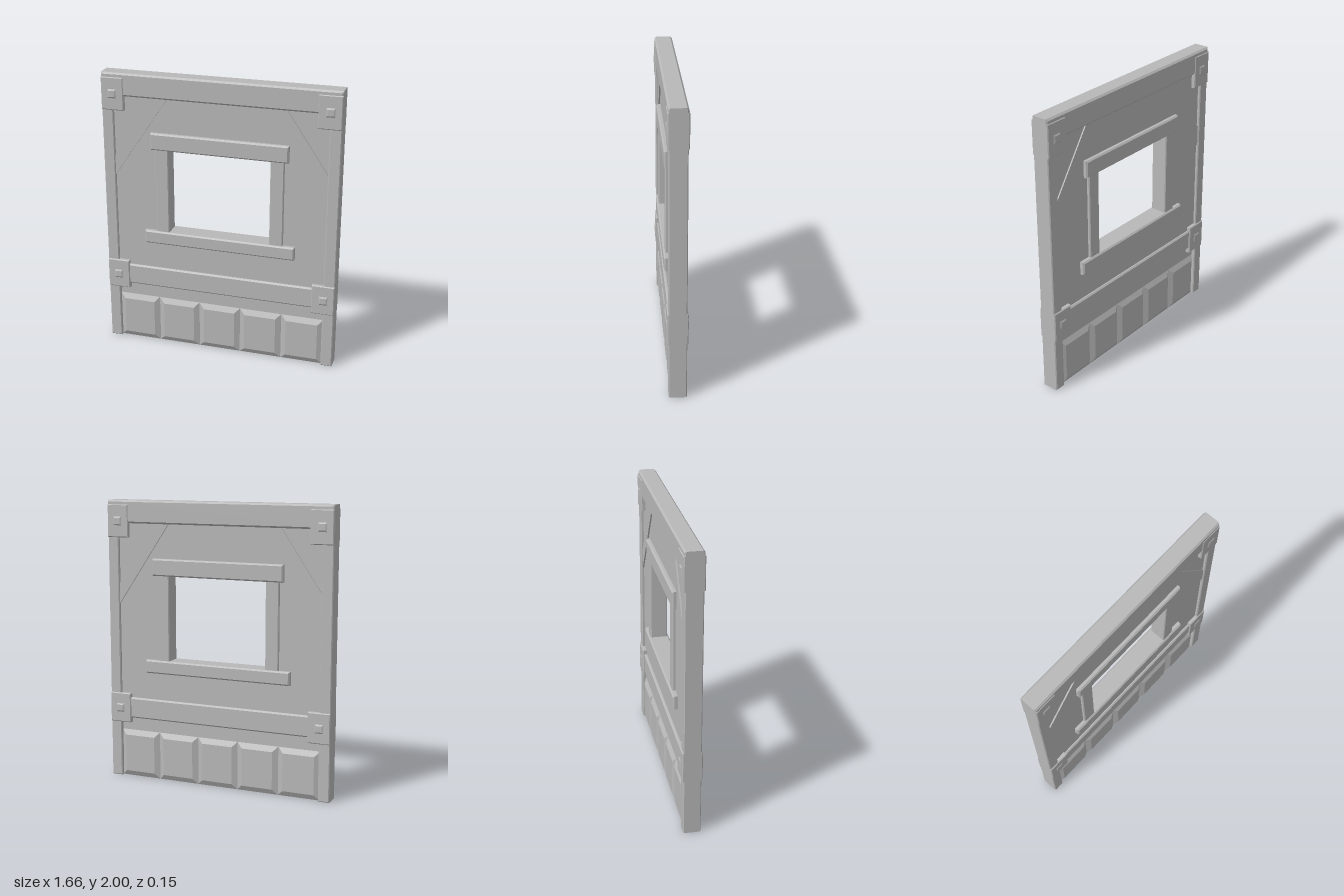
import * as THREE from 'three';

const grey = new THREE.MeshStandardMaterial({ color: 0xb8b8b8 });
grey.name = 'plain grey';

// Flat outline extruded symmetrically to z = -half..half, with chamfered front and back rims.
function slab(name, points, half, bevel = 0, bevelDepth = bevel, hole = null) {
  const shape = new THREE.Shape(points.map(([x, y]) => new THREE.Vector2(x, y)));
  if (hole) shape.holes.push(new THREE.Path(hole.map(([x, y]) => new THREE.Vector2(x, y))));
  const depth = 2 * (half - bevelDepth);
  const geometry = new THREE.ExtrudeGeometry(shape, {
    depth,
    bevelEnabled: bevel > 0,
    bevelSize: bevel,
    bevelOffset: -bevel,
    bevelThickness: bevelDepth,
    bevelSegments: 1,
  });
  geometry.translate(0, 0, -depth / 2);
  const mesh = new THREE.Mesh(geometry, grey);
  mesh.name = name;
  return mesh;
}

const rect = (x0, x1, y0, y1) => [[x0, y0], [x1, y0], [x1, y1], [x0, y1]];

export function createModel() {
  const group = new THREE.Group();
  group.name = 'windowWall';

  // Wall panel with the window opening, and the thinner base behind the stones
  group.add(slab('wallPanel', rect(-0.78, 0.78, 0.5, 1.9), 0.04, 0, 0, rect(-0.37, 0.37, 0.87, 1.49)));
  group.add(slab('wallBase', rect(-0.78, 0.78, 0, 0.5), 0.032));

  // Horizontal beams
  group.add(slab('topBeam', rect(-0.83, 0.83, 1.84, 2), 0.063, 0.012));
  group.add(slab('middleBeam', rect(-0.78, 0.78, 0.44, 0.59), 0.058, 0.01));

  // Window frame
  group.add(slab('lintel', rect(-0.485, 0.485, 1.48, 1.6), 0.069, 0.01));
  group.add(slab('sill', rect(-0.54, 0.54, 0.785, 0.88), 0.073, 0.01));

  for (const s of [-1, 1]) {
    const side = s > 0 ? 'left' : 'right';
    const span = (a, b, y0, y1) => rect(Math.min(s * a, s * b), Math.max(s * a, s * b), y0, y1);

    // Corner post and window jamb
    group.add(slab(side + 'Post', span(0.75, 0.83, 0, 1.99), 0.06, 0.006));
    group.add(slab(side + 'Jamb', span(0.36, 0.455, 0.87, 1.49), 0.06, 0.006));

    // Diagonal brace, continued under the post and the beam
    const brace = [[0.775, 1.235], [0.775, 1.38], [0.445, 1.87], [0.345, 1.87]].map(([x, y]) => [s * x, y]);
    group.add(slab(side + 'Brace', brace, 0.05));

    // Joint plates with square studs
    for (const [level, y0, y1, yStud] of [['Upper', 1.74, 1.97, 1.855], ['Lower', 0.405, 0.62, 0.51]]) {
      group.add(slab(side + level + 'Plate', span(0.67, 0.83, y0, y1), 0.068, 0.006));
      group.add(slab(side + level + 'Stud', span(0.722, 0.783, yStud - 0.031, yStud + 0.031), 0.074, 0.01, 0.006));
    }
  }

  // Row of bevelled foundation stones
  const pitch = 1.51 / 5;
  for (let i = 0; i < 5; i++) {
    const x = -0.755 + i * pitch;
    group.add(slab('foundationStone' + (i + 1), rect(x, x + pitch, 0, 0.345), 0.053, 0.038, 0.021));
  }
  return group;
}
